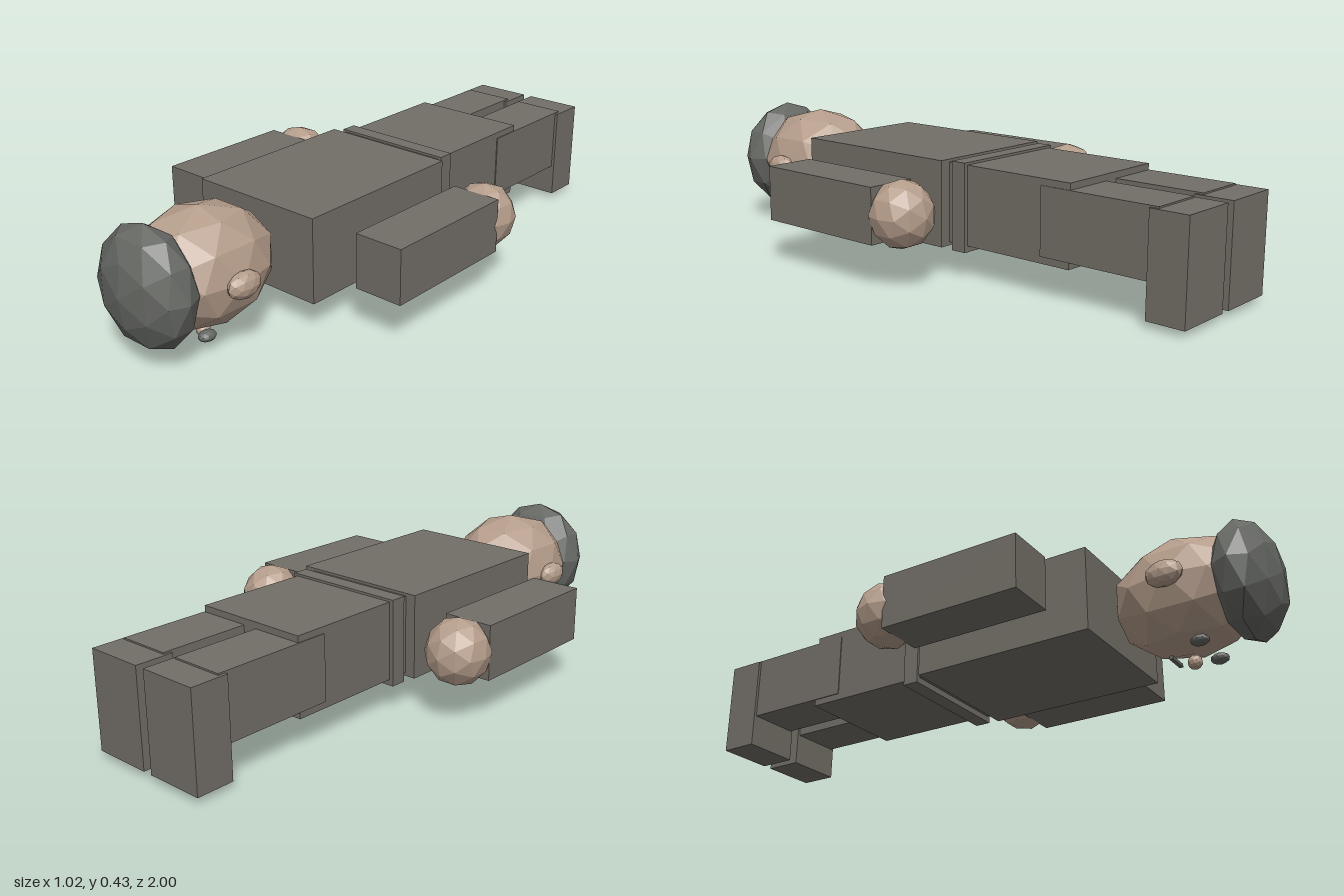
import * as THREE from 'three';

const paint = (name, color) => {
  const m = new THREE.MeshStandardMaterial({ color, flatShading: true });
  m.name = name;
  return m;
};

export function createModel() {
  const model = new THREE.Group();
  model.name = 'lyingFigure';
  const cloth = paint('greyCloth', 0x726e67);
  const hair = paint('darkHair', 0x666864);
  const skin = paint('skin', 0xb59d8b);

  const add = (name, geometry, material, x, y, z) => {
    const mesh = new THREE.Mesh(geometry, material);
    mesh.name = name;
    mesh.position.set(x, y, z);
    model.add(mesh);
    return mesh;
  };
  // Box given by its extents on each axis
  const box = (name, mat, x0, x1, y0, y1, z0, z1) =>
    add(name, new THREE.BoxGeometry(x1 - x0, y1 - y0, z1 - z0), mat,
      (x0 + x1) / 2, (y0 + y1) / 2, (z0 + z1) / 2);
  // Faceted ball given by its centre and half sizes
  const ball = (name, mat, x, y, z, rx, ry, rz) =>
    add(name, new THREE.IcosahedronGeometry(1, 1).scale(rx, ry, rz), mat, x, y, z);

  // Body, lying face down with the head towards +z
  box('torso', cloth, -0.236, 0.236, 0.097, 0.373, -0.137, 0.477);
  box('belt', cloth, -0.213, 0.213, 0.088, 0.372, -0.213, -0.16);
  box('hips', cloth, -0.2, 0.2, 0.108, 0.364, -0.604, -0.13);

  // Head and face
  ball('head', skin, 0, 0.238, 0.7, 0.187, 0.187, 0.24);
  ball('hair', hair, 0, 0.24, 0.895, 0.182, 0.192, 0.105);
  ball('nose', skin, 0, 0.023, 0.705, 0.022, 0.023, 0.023);
  box('mouth', hair, -0.037, 0.037, 0.034, 0.045, 0.639, 0.651);

  // Mirrored parts
  for (const [side, s] of [['left', 1], ['right', -1]]) {
    const sideBox = (name, mat, x0, x1, ...rest) =>
      box(side + name, mat, Math.min(s * x0, s * x1), Math.max(s * x0, s * x1), ...rest);
    sideBox('Arm', cloth, 0.322, 0.49, 0.145, 0.323, -0.09, 0.387);
    sideBox('Leg', cloth, 0.025, 0.203, 0.13, 0.343, -0.9, -0.5);
    sideBox('Boot', cloth, 0.016, 0.213, 0.021, 0.338, -1, -0.875);
    ball(side + 'Hand', skin, s * 0.406, 0.234, -0.135, 0.103, 0.108, 0.103);
    ball(side + 'Ear', skin, s * 0.187, 0.235, 0.705, 0.033, 0.042, 0.06);
    ball(side + 'Eye', hair, s * 0.075, 0.052, 0.755, 0.024, 0.017, 0.03);
  }
  return model;
}
